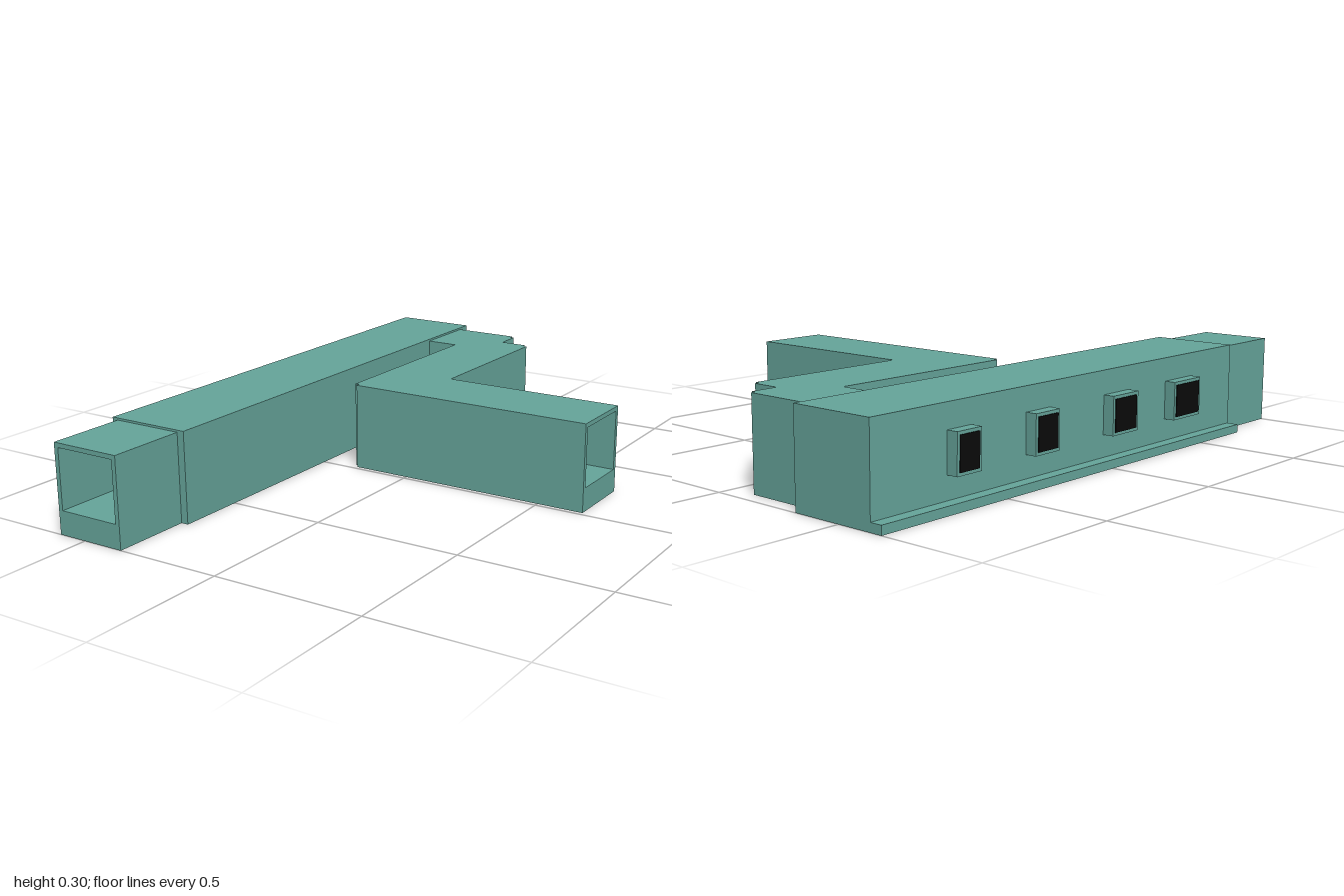
import * as THREE from 'three';

const teal = new THREE.MeshStandardMaterial({ color: 0x66a59b });
const black = new THREE.MeshStandardMaterial({ color: 0x0a0a0a });
const red = new THREE.MeshStandardMaterial({ color: 0xc01820 });
const white = new THREE.MeshStandardMaterial({ color: 0xeeeeee });

export function createModel() {
  const model = new THREE.Group();

  function add(name, geometry, material = teal) {
    const mesh = new THREE.Mesh(geometry, material);
    mesh.name = name;
    model.add(mesh);
    return mesh;
  }

  // Box given by its limits on each axis
  function box(name, [x0, x1], [y0, y1], [z0, z1], material) {
    const mesh = add(name, new THREE.BoxGeometry(x1 - x0, y1 - y0, z1 - z0), material);
    mesh.position.set((x0 + x1) / 2, (y0 + y1) / 2, (z0 + z1) / 2);
    return mesh;
  }

  // Floor plan of [x, z] points raised from y0 to y1
  function raise(name, plan, y0, y1) {
    const shape = new THREE.Shape(plan.map(([x, z]) => new THREE.Vector2(x, -z)));
    const geometry = new THREE.ExtrudeGeometry(shape, { depth: y1 - y0, bevelEnabled: false });
    geometry.rotateX(-Math.PI / 2).translate(0, y0, 0);
    return add(name, geometry);
  }

  // Outer faces: around the back, and around the inside of the bend
  const outerBack = [
    [-0.6, 1], [-0.6, 0.73], [-0.62, 0.73], [-0.62, -1], [-0.33, -1], [-0.33, -0.95],
    [-0.095, -0.95], [-0.095, -0.935], [-0.08, -0.935], [-0.08, -0.845],
    [0.015, -0.845], [0.015, -0.83], [0.03, -0.83], [0.03, -0.26], [0.66, -0.26],
  ];
  const outerBend = [
    [-0.355, 1], [-0.355, 0.73], [-0.33, 0.73], [-0.33, -0.71], [-0.215, -0.71],
    [-0.215, -0.03], [-0.2, -0.03], [-0.2, -0.015], [0.66, -0.015],
  ];
  // Matching inner faces, running back to the front opening
  const innerBack = [
    [0.66, -0.245], [0.015, -0.245], [0.015, -0.82], [-0.095, -0.82], [-0.095, -0.93],
    [-0.345, -0.93], [-0.345, -0.985], [-0.605, -0.985], [-0.605, 0.715],
    [-0.585, 0.715], [-0.585, 1],
  ];
  const innerBend = [
    [0.66, -0.03], [-0.185, -0.03], [-0.185, -0.045], [-0.2, -0.045],
    [-0.2, -0.725], [-0.345, -0.725], [-0.345, 0.715], [-0.37, 0.715], [-0.37, 1],
  ];
  const footprint = [...outerBack, ...[...outerBend].reverse()];

  // Corridor shell, open at both ends
  const floorY = 0.08, ceilingY = 0.28, topY = 0.295;
  raise('floor', footprint, 0, floorY);
  raise('backWalls', [...outerBack, ...innerBack], floorY, ceilingY);
  raise('bendWalls', [...outerBend, ...innerBend], floorY, ceilingY);
  raise('ceiling', footprint, ceilingY, topY);
  box('mainRoof', [-0.62, -0.33], [topY, 0.302], [-1, 0.73]);

  // Ledge along the outside wall
  box('ledge', [-0.66, -0.62], [0, 0.028], [-1, 0.73]);

  // Projecting windows, growing wider toward the front
  for (const [z0, z1] of [[-0.71, -0.61], [-0.375, -0.265], [0, 0.13], [0.335, 0.485]]) {
    box('windowFrame', [-0.657, -0.62], [0.1, 0.225], [z0, z1]);
    box('windowPane', [-0.66, -0.655], [0.11, 0.215], [z0 + 0.01, z1 - 0.01], black);
  }

  // Ceiling lamp in the side corridor
  box('ceilingLamp', [0.2, 0.28], [0.273, ceilingY], [-0.17, -0.09], black);

  // Round sign on a post inside the main corridor
  const signX = -0.409, signZ = -0.6;
  box('signPost', [signX - 0.002, signX + 0.002], [floorY, 0.17], [signZ - 0.004, signZ], black);
  const disc = add('signDisc', new THREE.CylinderGeometry(0.021, 0.021, 0.004, 32), red);
  disc.rotation.x = Math.PI / 2;
  disc.position.set(signX, 0.18, signZ);
  box('signBar', [signX - 0.014, signX + 0.014], [0.177, 0.183], [signZ, signZ + 0.003], white);

  return model;
}
